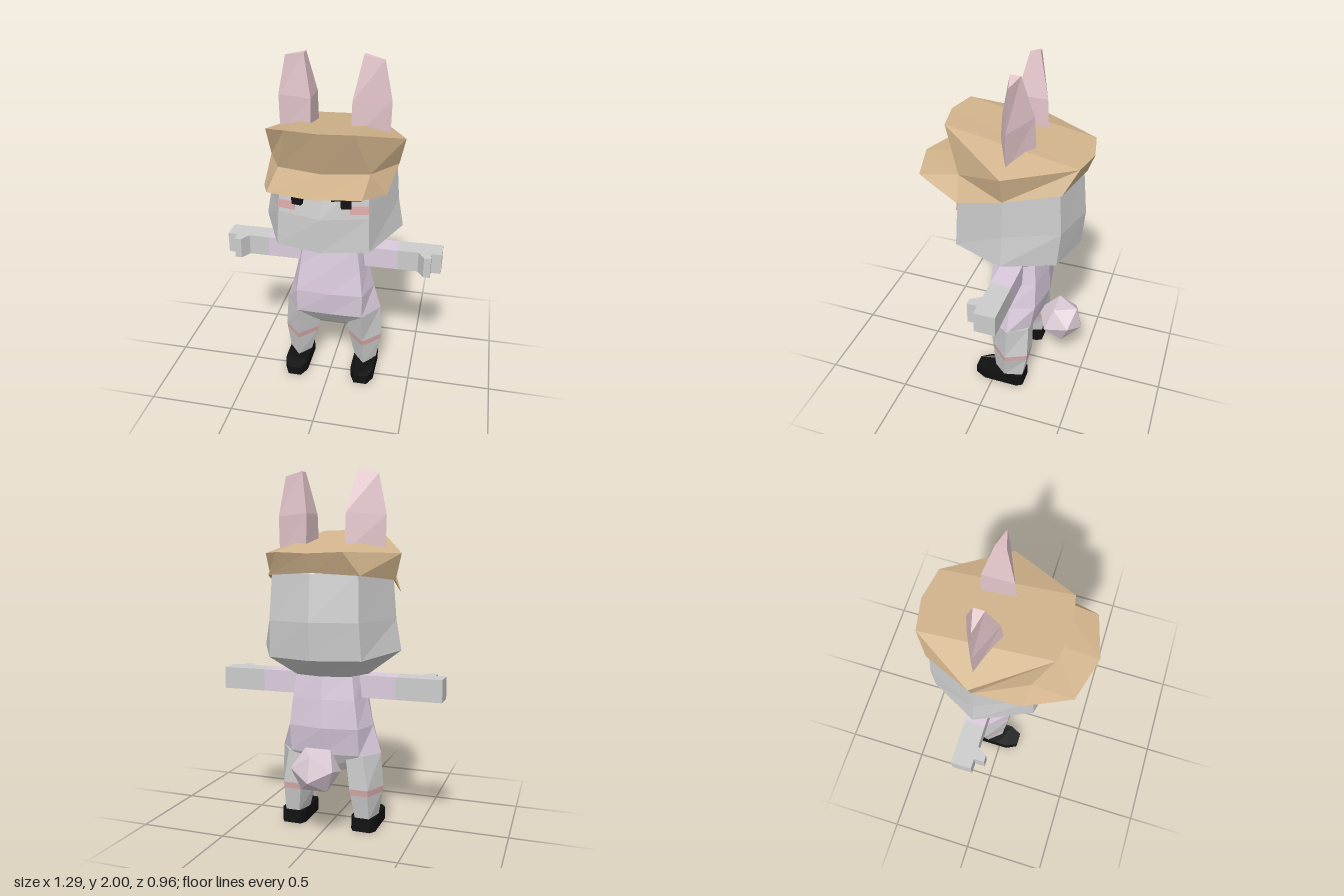
import * as THREE from 'three';

const material = (color, side = THREE.FrontSide) =>
  new THREE.MeshStandardMaterial({ color, side, flatShading: true });
const GREY = material(0xcccccc), LILAC = material(0xdacbdd), EAR = material(0xe3c5ca);
const TAN = material(0xd2b48c), TAN_THIN = material(0xd2b48c, THREE.DoubleSide);
const BLACK = material(0x111111), PINK = material(0xdbabab), TAIL = material(0xdccbd6);

function named(name, geometry, mat) {
  const mesh = new THREE.Mesh(geometry, mat);
  mesh.name = name;
  return mesh;
}

// Skin a list of rings, lowest first, each running front -> +x -> back -> -x.
function loft(rings, { closed = true, cap = null } = {}) {
  const pos = [];
  const tri = (...pts) => pts.forEach((p) => pos.push(...p));
  const n = rings[0].length;
  for (let r = 0; r < rings.length - 1; r++) {
    const lo = rings[r], hi = rings[r + 1];
    for (let i = 0; i < (closed ? n : n - 1); i++) {
      const j = (i + 1) % n;
      tri(lo[i], lo[j], hi[j]);
      tri(lo[i], hi[j], hi[i]);
    }
  }
  if (closed) {
    const fan = [];
    for (let i = 1; i < n - 1; i++) fan.push([0, i, i + 1]);
    const bottom = rings[0], top = rings[rings.length - 1];
    for (const [a, b, c] of cap || fan) {
      tri(bottom[a], bottom[c], bottom[b]);
      tri(top[a], top[b], top[c]);
    }
  }
  const geometry = new THREE.BufferGeometry();
  geometry.setAttribute('position', new THREE.Float32BufferAttribute(pos, 3));
  geometry.computeVertexNormals();
  return geometry;
}

// Complete a five-point half ring (front centre to back centre) to eight points.
const mirrorRing = (half) =>
  [...half, ...half.slice(1, -1).reverse().map(([x, y, z]) => [-x, y, z])];
const levelRing = (y, half) => mirrorRing(half.map(([x, z]) => [x, y, z]));
// Cap with creases running front to back
const LONG_CAP = [[0, 1, 3], [0, 3, 4], [1, 2, 3], [0, 4, 5], [0, 5, 7], [7, 5, 6]];

// Mirror a ring to the other side, keeping its direction.
const sided = (ring, s) => {
  const out = ring.map(([x, y, z]) => [x * s, y, z]);
  return s < 0 ? out.reverse() : out;
};

function createHead() {
  const head = new THREE.Group();
  head.name = 'head';
  head.add(named('skull', loft([
    levelRing(0.89, [[0, 0.05], [0.15, 0.02], [0.22, -0.1], [0.15, -0.24], [0, -0.27]]),
    mirrorRing([[0, 1.0, 0.27], [0.26, 1.0, 0.21], [0.405, 1.03, -0.1], [0.26, 1.0, -0.37], [0, 1.0, -0.44]]),
    levelRing(1.2, [[0, 0.27], [0.25, 0.2], [0.375, -0.1], [0.25, -0.385], [0, -0.455]]),
    levelRing(1.45, [[0, 0.22], [0.24, 0.17], [0.355, -0.1], [0.24, -0.365], [0, -0.43]]),
    levelRing(1.5, [[0, 0.21], [0.2, 0.16], [0.33, -0.1], [0.2, -0.34], [0, -0.41]]),
  ], { cap: LONG_CAP }), GREY));

  for (const s of [1, -1]) {
    // Plus-shaped eye
    const eye = new THREE.Group();
    eye.name = s > 0 ? 'leftEye' : 'rightEye';
    eye.add(named('eyeBar', new THREE.BoxGeometry(0.16, 0.05, 0.05), BLACK),
      named('eyePost', new THREE.BoxGeometry(0.055, 0.14, 0.051), BLACK));
    eye.position.set(s * 0.13, 1.34, 0.224);
    eye.rotation.y = s * 0.25;
    head.add(eye);

    const blush = named('blush', new THREE.BoxGeometry(0.1, 0.045, 0.03), PINK);
    blush.position.set(s * 0.198, 1.248, 0.2);
    blush.rotation.set(-0.1, s * 0.27, 0);
    head.add(blush);

    // Three-sided ear
    const ear = [
      [[0.11, 1.56, 0], [0.31, 1.54, -0.1], [0.11, 1.56, -0.2]],
      [[0.113, 1.77, -0.015], [0.315, 1.76, -0.1], [0.113, 1.77, -0.187]],
      [[0.16, 2, -0.07], [0.27, 1.978, -0.1], [0.16, 2, -0.127]],
    ].map((ring) => sided(ring, s));
    head.add(named(s > 0 ? 'leftEar' : 'rightEar', loft(ear), EAR));
  }
  return head;
}

function createCap() {
  const cap = new THREE.Group();
  cap.name = 'cap';
  cap.add(named('capCrown', loft([
    mirrorRing([[0, 1.45, 0.235], [0.25, 1.45, 0.18], [0.368, 1.41, -0.1], [0.255, 1.44, -0.38], [0, 1.455, -0.445]]),
    mirrorRing([[0, 1.695, 0.31], [0.18, 1.69, 0.275], [0.4, 1.555, -0.1], [0.18, 1.56, -0.445], [0, 1.553, -0.48]]),
  ], { cap: LONG_CAP }), TAN));

  // Peak drooping at its sides
  const both = (half) =>
    [...half.slice(1).reverse().map(([x, y, z]) => [-x, y, z]), ...half];
  const root = both([[0, 1.45, 0.235], [0.25, 1.45, 0.18], [0.25, 1.45, 0.18], [0.368, 1.41, -0.1]]);
  const rim = both([[0, 1.415, 0.48], [0.245, 1.405, 0.41], [0.335, 1.33, 0.16], [0.368, 1.41, -0.1]]);
  cap.add(named('capPeak', loft([rim, root], { closed: false }), TAN_THIN));
  return cap;
}

function createTorso() {
  const torso = new THREE.Group();
  torso.name = 'torso';
  const waist = levelRing(0.445, [[0, 0.045], [0.2, 0.04], [0.295, -0.1], [0.2, -0.215], [0, -0.24]]);
  torso.add(named('shirt', loft([
    waist,
    levelRing(0.6, [[0, 0.065], [0.2, 0.05], [0.25, -0.1], [0.2, -0.24], [0, -0.275]]),
    levelRing(0.76, [[0, 0.05], [0.18, 0.03], [0.215, -0.1], [0.18, -0.235], [0, -0.265]]),
    levelRing(0.91, [[0, 0.03], [0.16, 0.02], [0.2, -0.1], [0.16, -0.22], [0, -0.25]]),
  ], { cap: LONG_CAP }), LILAC));
  torso.add(named('pelvis', loft([
    levelRing(0.345, [[0, -0.03], [0.09, -0.03], [0.13, -0.1], [0.09, -0.17], [0, -0.19]]),
    waist,
  ], { cap: LONG_CAP }), GREY));

  const tail = named('tail', new THREE.IcosahedronGeometry(0.14, 0), TAIL);
  tail.position.set(0, 0.39, -0.35);
  tail.scale.set(1, 0.95, 1);
  tail.rotation.x = 0.25;
  torso.add(tail);
  return torso;
}

function createArm(s) {
  const arm = new THREE.Group();
  arm.name = s > 0 ? 'leftArm' : 'rightArm';
  const prism = (plan) => loft([0.765, 0.89].map((y) =>
    sided(plan.map(([x, z]) => [x, y, z]), s)));
  arm.add(named('sleeve', prism([[0.12, -0.04], [0.39, -0.04], [0.39, -0.16], [0.12, -0.16]]), LILAC));
  arm.add(named('hand', prism([[0.39, -0.04], [0.645, -0.04], [0.645, -0.16], [0.39, -0.16]]), GREY));
  arm.add(named('thumb', prism([[0.51, -0.041], [0.547, 0.018], [0.587, 0.018], [0.587, -0.041]]), GREY));
  return arm;
}

function createLeg(s) {
  const leg = new THREE.Group();
  leg.name = s > 0 ? 'leftLeg' : 'rightLeg';
  const ring = (y, pts) => sided(pts.map(([x, z]) => [x, y, z]), s);
  const ankle = ring(0.07, [[0.21, 0], [0.278, -0.08], [0.25, -0.185], [0.17, -0.185], [0.143, -0.08]]);
  const bandLow = ring(0.215, [[0.205, 0.015], [0.304, -0.09], [0.25, -0.21], [0.15, -0.21], [0.103, -0.09]]);
  const bandHigh = ring(0.25, [[0.203, 0.02], [0.308, -0.09], [0.25, -0.215], [0.145, -0.215], [0.097, -0.09]]);
  const hip = ring(0.445, [[0.2, 0.042], [0.295, -0.1], [0.22, -0.21], [0.12, -0.21], [0.07, -0.09]]);
  leg.add(named('shin', loft([ankle, bandLow]), GREY),
    named('legBand', loft([bandLow, bandHigh]), PINK),
    named('thigh', loft([bandHigh, hip]), GREY));

  // Shoe with chamfered toe, lower at the front
  const sole = [[0.17, 0.115], [0.25, 0.115], [0.282, 0.05], [0.282, -0.01],
    [0.282, -0.16], [0.26, -0.193], [0.16, -0.193], [0.14, -0.16], [0.14, -0.01], [0.14, 0.05]];
  const shoe = [
    sole.map(([x, z]) => [x, 0, z]),
    sole.map(([x, z]) => [x, z > 0.1 ? 0.057 : z > 0 ? 0.07 : 0.078, z]),
  ].map((r) => sided(r, s));
  leg.add(named('shoe', loft(shoe), BLACK));
  return leg;
}

export function createModel() {
  const model = new THREE.Group();
  model.name = 'rabbitFigure';
  model.add(createHead(), createCap(), createTorso());
  for (const s of [1, -1]) model.add(createArm(s), createLeg(s));
  return model;
}
